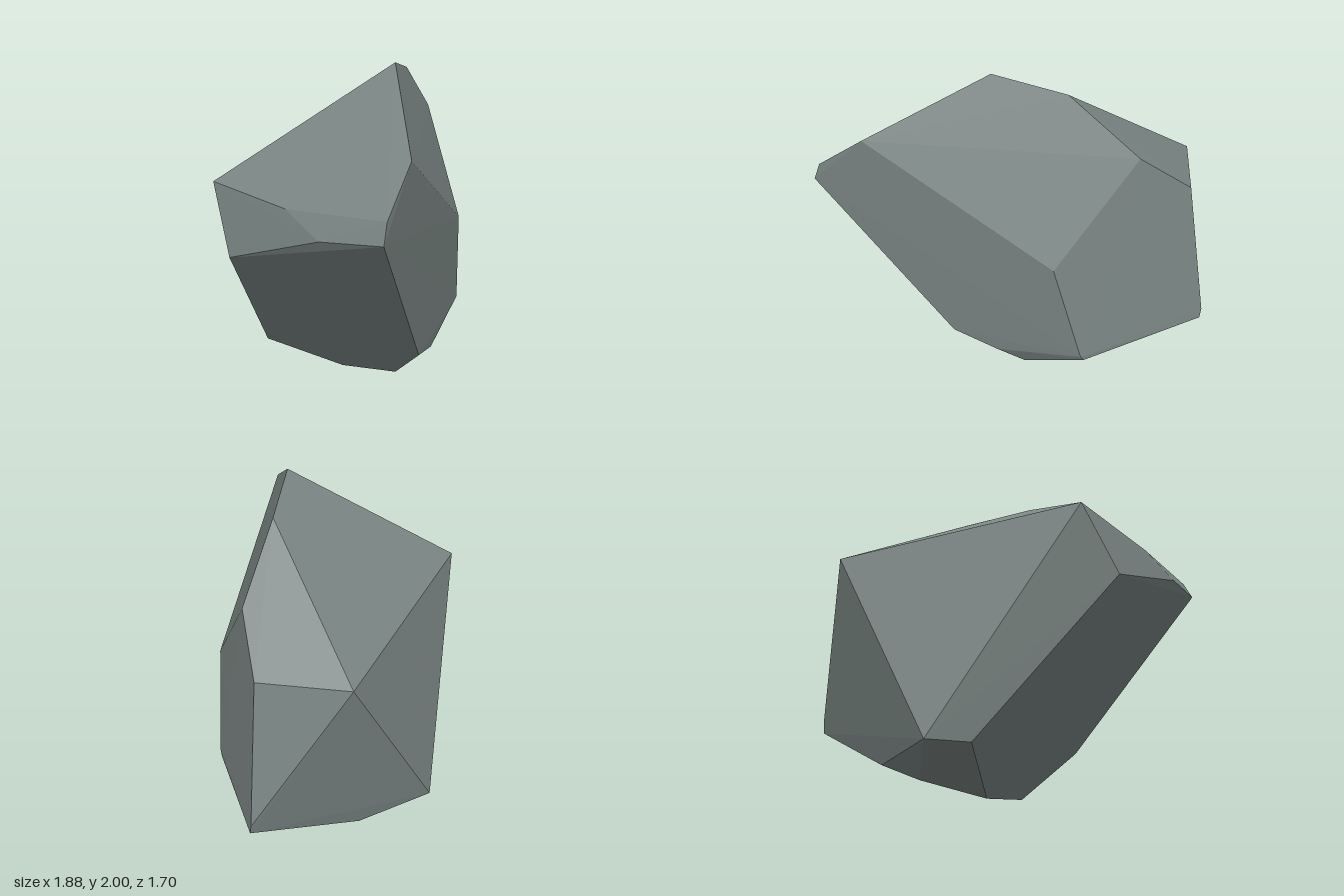
import * as THREE from 'three';
import { ConvexGeometry } from 'three/addons/geometries/ConvexGeometry.js';

// Corners of the faceted boulder, grouped by height.
const crown = [
  [-0.07, 2.0, 0.18], [0.26, 1.91, -0.05], [0.63, 1.61, -0.21], [-0.51, 1.66, 0.72],
];
const shoulder = [
  [0.8, 1.39, -0.47], [0.52, 1.39, -0.85], [-0.87, 1.39, -0.4], [-0.87, 1.39, 0.22],
  [-0.78, 1.46, 0.83], [-0.82, 1.36, 0.85], [-0.89, 1.3, 0.49],
];
const waist = [
  [-0.94, 1.03, -0.19], [0.435, 1.02, 0.235], [0.935, 0.56, -0.55], [0.935, 0.5, -0.54],
];
const foot = [
  [0.57, 0.4, 0.13], [0.58, 0.37, 0.11], [-0.155, 0.39, 0.465], [0.09, 0.3, 0.34],
  [0.21, 0.2, 0.22], [-0.01, 0.08, 0.14], [-0.1, 0, -0.25], [0.01, 0.04, -0.62],
  [0.22, 0.14, -0.69], [-0.25, 0.14, -0.85], [-0.38, 0.14, -0.67],
];

export function createModel() {
  const group = new THREE.Group();
  group.name = 'rock';

  const stone = new THREE.MeshStandardMaterial({ color: 0x7a8583 });
  stone.name = 'grey stone';

  // Convex hull gives the flat, cut faces.
  const corners = [...crown, ...shoulder, ...waist, ...foot].map((p) => new THREE.Vector3(...p));
  const boulder = new THREE.Mesh(new ConvexGeometry(corners), stone);
  boulder.name = 'boulder';
  group.add(boulder);
  return group;
}
